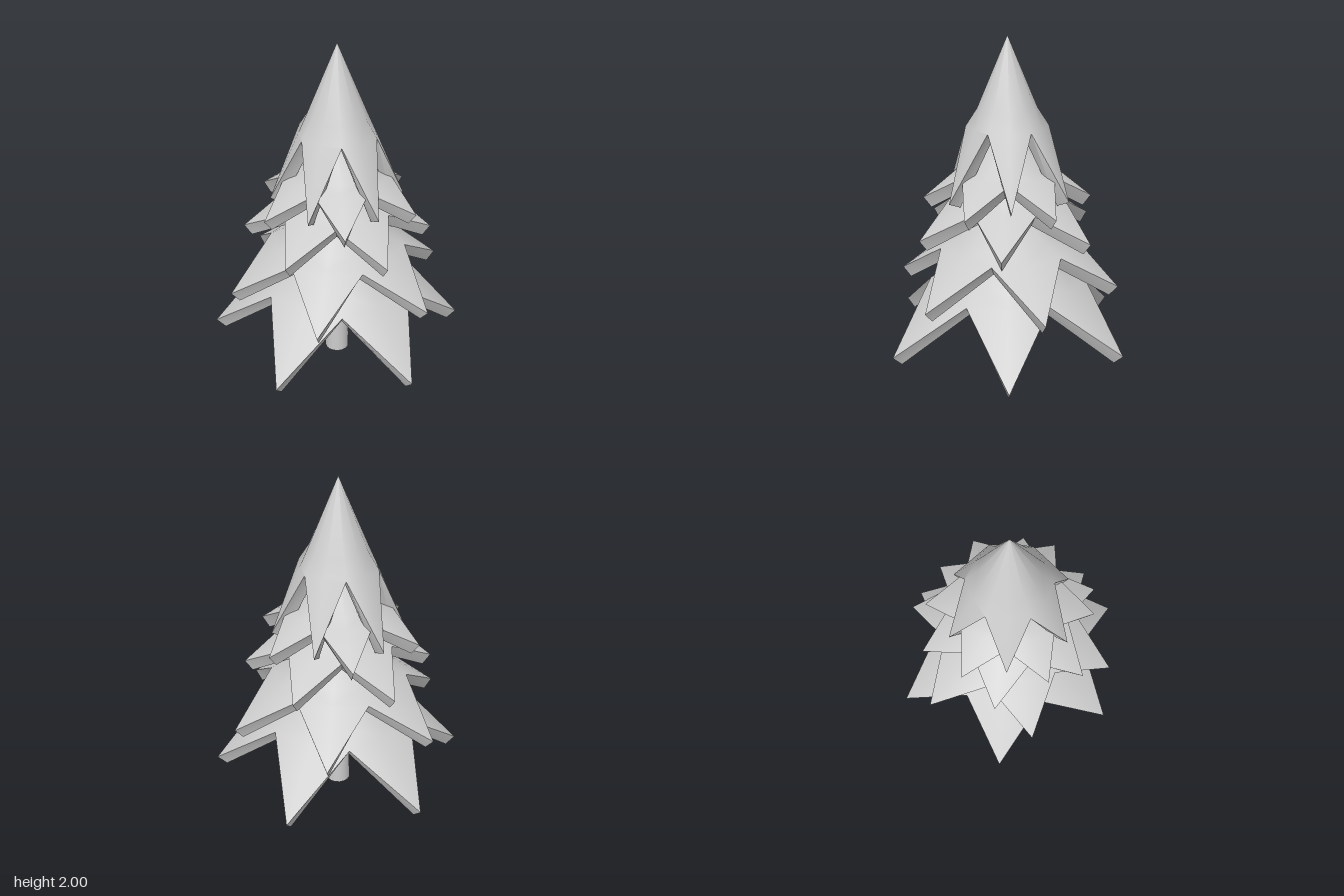
import * as THREE from 'three';
import { toCreasedNormals } from 'three/addons/utils/BufferGeometryUtils.js';

const material = new THREE.MeshStandardMaterial({ color: 0xcccccc });
const SIDES = 12; // six tips alternating with six notches
const THICKNESS = 0.078;

// Hollow star-shaped cone: tips at even steps, notches at odd steps.
function tierGeometry(radius, tipY, height, apexY, turn) {
  const slope = Math.hypot(radius, height);
  const inset = THICKNESS * height / slope;
  const drop = THICKNESS * radius / slope;

  // r and h are fractions of the tier's radius and height
  const point = (i, r, h, inner) => {
    const a = turn + (i / SIDES) * Math.PI * 2;
    const rr = radius * r - (inner ? inset : 0);
    return [rr * Math.cos(a), tipY + height * h - (inner ? drop : 0), rr * Math.sin(a)];
  };
  const apex = (inner) => [0, apexY - (inner ? THICKNESS * slope / radius : 0), 0];
  const crown = (i, inner) => point(i, 0.44, 0.556, inner);
  const shoulder = (i, inner) => point(i, i % 2 ? 0.61 : 0.555, 0.444, inner);
  const rim = (i, inner) => (i % 2 ? shoulder(i, inner) : point(i, 1, 0, inner));

  const positions = [];
  const tri = (a, b, c, flip) => positions.push(...a, ...(flip ? c : b), ...(flip ? b : c));

  for (let i = 0; i < SIDES; i++) {
    const j = i + 1;
    for (const inner of [false, true]) {
      tri(apex(inner), crown(j, inner), crown(i, inner), inner);
      // split each quad symmetrically about the middle of the tip
      const [a, b] = [crown(i, inner), crown(j, inner)];
      const [c, d] = [shoulder(i, inner), shoulder(j, inner)];
      if (i % 2) {
        tri(a, b, d, inner);
        tri(a, d, c, inner);
      } else {
        tri(a, b, c, inner);
        tri(b, d, c, inner);
      }
      // half of a pointed tip
      const even = i % 2 ? j : i;
      tri(shoulder(even, inner), rim(j, inner), rim(i, inner), inner);
    }
    // thick edge
    tri(rim(i, false), rim(j, false), rim(i, true));
    tri(rim(j, false), rim(j, true), rim(i, true));
  }

  const geometry = new THREE.BufferGeometry();
  geometry.setAttribute('position', new THREE.Float32BufferAttribute(positions, 3));
  return toCreasedNormals(geometry, 0.9);
}

export function createModel() {
  const tree = new THREE.Group();
  tree.name = 'tree';

  // Tapered trunk
  const trunk = new THREE.Mesh(new THREE.CylinderGeometry(0.04, 0.075, 1.4, 16), material);
  trunk.name = 'trunk';
  trunk.position.y = 0.7;
  tree.add(trunk);

  // Foliage tiers, bottom to top:
  // radius, tip height, star height, apex height, turn in degrees
  const tiers = [
    [0.763, 0.23, 0.74, 1.02, 0],
    [0.665, 0.565, 0.53, 1.14, -17],
    [0.552, 0.895, 0.37, 1.33, 4],
    [0.488, 1.08, 0.35, 1.53, 28.5],
    [0.387, 1.1, 0.9, 2, -2.5],
  ];
  tiers.forEach(([radius, tipY, height, apexY, turn], i) => {
    const tier = new THREE.Mesh(
      tierGeometry(radius, tipY, height, apexY, THREE.MathUtils.degToRad(turn)), material);
    tier.name = `foliageTier${i + 1}`;
    tree.add(tier);
  });

  return tree;
}
